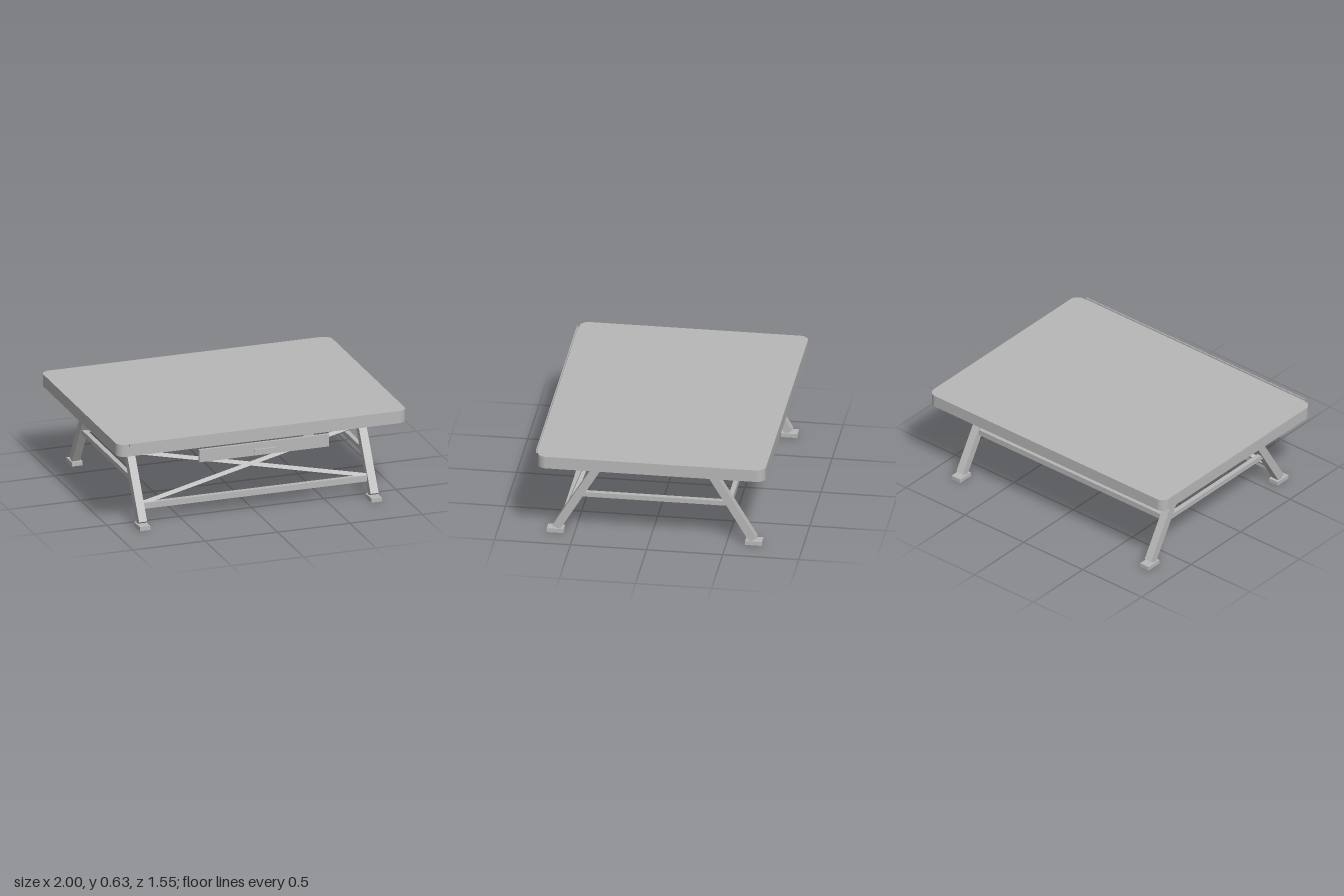
import * as THREE from 'three';

export function createModel() {
  const model = new THREE.Group();
  model.name = 'draftingTable';
  const grey = new THREE.MeshStandardMaterial({ color: 0xb8b8b8 });
  grey.name = 'grey';
  const Z = -0.027; // middle of the table along z

  const add = (name, geometry, x, y, z) => {
    const mesh = new THREE.Mesh(geometry, grey);
    mesh.name = name;
    mesh.position.set(x, y, z);
    model.add(mesh);
    return mesh;
  };
  const box = (name, w, h, d, x, y, z) => add(name, new THREE.BoxGeometry(w, h, d), x, y, z);

  // Straight bar from a to b; "thick" is measured along the up vector
  const beam = (name, a, b, wide, thick, up) => {
    const mid = a.clone().add(b).multiplyScalar(0.5);
    const mesh = box(name, wide, thick, a.distanceTo(b), mid.x, mid.y, mid.z);
    mesh.up.copy(up);
    mesh.lookAt(b);
    return mesh;
  };

  // Tabletop with rounded corners
  const w = 1, d = 0.75, r = 0.06;
  const outline = new THREE.Shape();
  outline.absarc(w - r, d - r, r, 0, Math.PI / 2);
  outline.absarc(-w + r, d - r, r, Math.PI / 2, Math.PI);
  outline.absarc(-w + r, -d + r, r, Math.PI, Math.PI * 1.5);
  outline.absarc(w - r, -d + r, r, Math.PI * 1.5, Math.PI * 2);
  outline.closePath();
  const top = new THREE.ExtrudeGeometry(outline, { depth: 0.083, bevelEnabled: false, curveSegments: 8 });
  top.rotateX(-Math.PI / 2);
  add('tabletop', top, 0, 0.543, Z);

  // Pencil ledge on the front edge
  box('ledgeShelf', 1.85, 0.007, 0.014, 0, 0.617, 0.728);
  box('ledgeLip', 1.85, 0.02, 0.006, 0, 0.623, 0.735);

  // Drawer front and its pull
  box('drawerFront', 0.895, 0.085, 0.02, 0, 0.493, 0.734);
  box('drawerPull', 0.15, 0.018, 0.013, 0, 0.493, 0.7705);
  for (const s of [-1, 1]) box('pullPost', 0.012, 0.01, 0.03, s * 0.06, 0.493, 0.754);

  // Point on the sloping centre line of a front (1) or back (-1) leg
  const legPoint = (x, y, end) =>
    new THREE.Vector3(x, y, Z + end * (0.647 - (y - 0.033) * 0.6));
  const slope = new THREE.Vector3(0, 0.6, 1).normalize(); // faces out of the front leg plane
  const yUp = new THREE.Vector3(0, 1, 0);

  for (const side of [-1, 1]) {
    const x = side * 0.8;
    box('topRail', 0.055, 0.065, 1, x, 0.512, Z);
    for (const end of [-1, 1]) {
      beam('leg', legPoint(x, 0.033, end), legPoint(x, 0.483, end), 0.055, 0.055,
        new THREE.Vector3(0, slope.y, slope.z * end));
      box('foot', 0.073, 0.028, 0.11, x, 0.014, Z + end * 0.652);
    }
    beam('sideStretcher', legPoint(x, 0.281, 1), legPoint(x, 0.281, -1), 0.032, 0.032, yUp);
    // Crossed braces between the front legs
    beam('crossBrace', legPoint(side * 0.775, 0.436, 1), legPoint(-side * 0.775, 0.143, 1), 0.027, 0.027, slope);
  }

  // Long stretchers: low at the front, higher at the back
  beam('frontStretcher', legPoint(-0.78, 0.131, 1), legPoint(0.78, 0.131, 1), 0.032, 0.04, yUp);
  beam('backStretcher', legPoint(-0.78, 0.292, -1), legPoint(0.78, 0.292, -1), 0.032, 0.04, yUp);

  return model;
}
